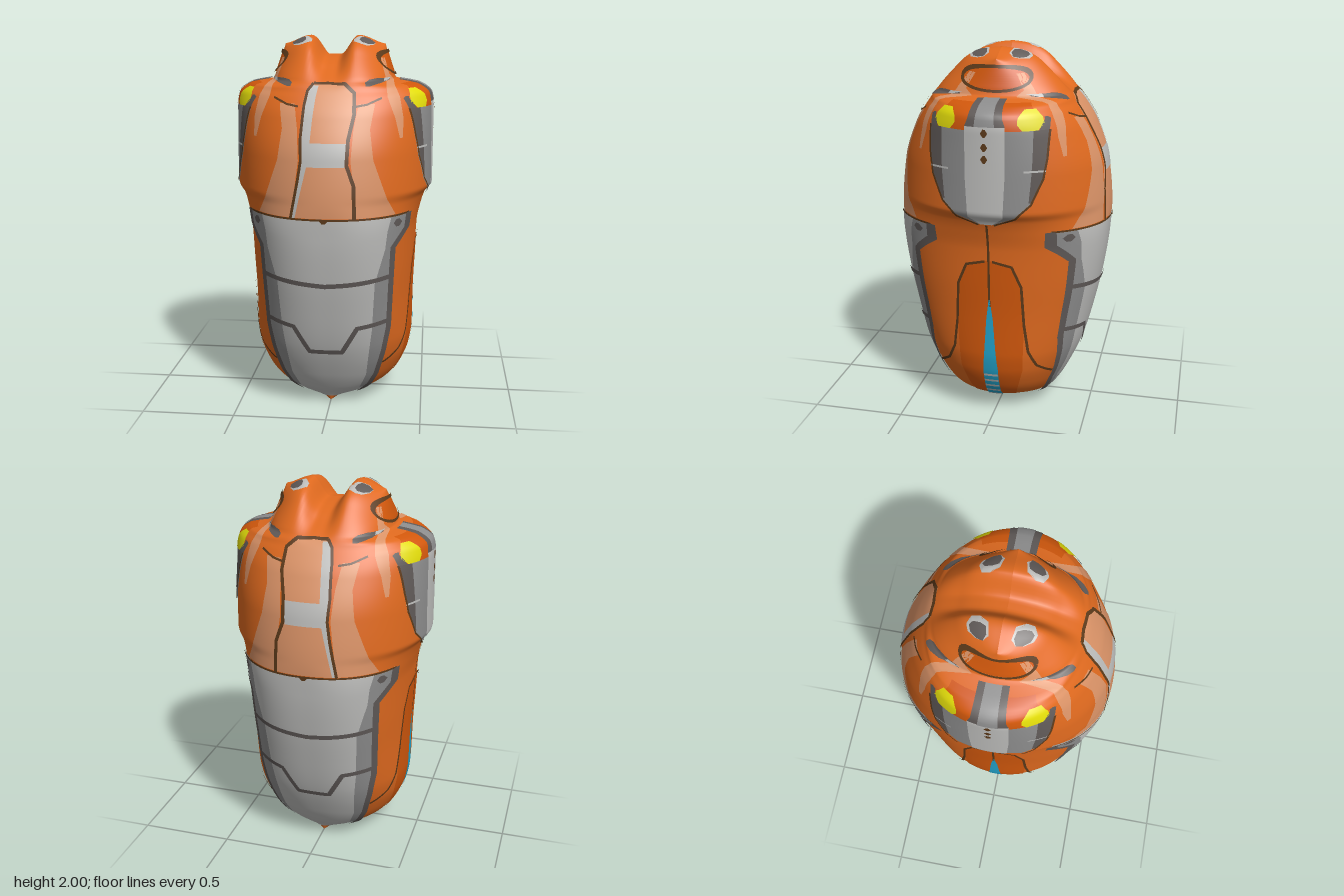
import * as THREE from 'three';

const paint = (name, color) => Object.assign(new THREE.MeshStandardMaterial({ color }), { name });
const M = {
  orange: paint('orange', 0xe06a1f), deep: paint('deep orange', 0xd2580c), peach: paint('peach', 0xdc9468),
  light: paint('light grey', 0xbebebc), grey: paint('mid grey', 0x8e8e8e), dark: paint('dark grey', 0x605a58),
  brown: paint('brown', 0x5c3a1a), yellow: paint('yellow', 0xe2dc0a), blue: paint('blue', 0x22a4cc),
};

// Monotone smooth curve through [t, value] points
function curve(p) {
  const s = p.slice(1).map((q, i) => (q[1] - p[i][1]) / (q[0] - p[i][0]));
  const m = p.map((_, i) => (i === 0 ? s[0] : i === s.length ? s[i - 1]
    : s[i - 1] * s[i] <= 0 ? 0 : 2 * s[i - 1] * s[i] / (s[i - 1] + s[i])));
  return (t) => {
    t = Math.min(Math.max(t, p[0][0]), p[p.length - 1][0]);
    let i = 0;
    while (i < s.length - 1 && t > p[i + 1][0]) i++;
    const h = p[i + 1][0] - p[i][0], k = (t - p[i][0]) / h, j = 1 - k;
    return p[i][1] * (1 + 2 * k) * j * j + p[i + 1][1] * (3 - 2 * k) * k * k + h * k * j * (m[i] * j - m[i + 1] * k);
  };
}

// Half width, half depth and roundness of the section at each height
const W = curve([[0, 0], [.004, .03], [.03, .1], [.06, .23], [.12, .33], [.2, .385], [.3, .422], [.4, .435], [.6, .437],
  [.8, .445], [1, .455], [1.1, .475], [1.17, .498], [1.22, .528], [1.63, .528], [1.7, .517], [1.75, .45], [1.765, .38],
  [1.775, .332], [1.84, .312], [1.92, .292], [2, .27]]);
const D = curve([[0, .24], [.03, .25], [.1, .305], [.2, .365], [.4, .45], [.6, .502], [.8, .542], [1, .567], [1.15, .575],
  [1.4, .55], [1.6, .48], [1.7, .42], [1.8, .34], [1.9, .25], [1.95, .195], [1.98, .13], [1.993, .07], [2, 0]]);
const N = curve([[0, 2.2], [.2, 2.4], [.5, 2.55], [1, 2.7], [1.22, 2.05], [1.72, 2.1], [1.77, 3], [1.8, 3.4], [1.9, 3], [2, 2.5]]);
const step = THREE.MathUtils.smoothstep;

// Valley between the two horns and their outward slope
const sink = (x, y) => step(y, 1.72, 2) * (.1 * (1 - step(Math.abs(x), .03, .125)) + .045 * step(Math.abs(x), .13, .28));

const rows = [0, .004];
for (let i = 1; i < 199; i++) rows.push(i / 100);
rows.push(1.985, 1.99, 1.994, 1.997, 1.999, 2);

function mesh(name, pos, index, mat) {
  const g = new THREE.BufferGeometry();
  g.setAttribute('position', new THREE.Float32BufferAttribute(pos, 3));
  g.setIndex(index);
  g.computeVertexNormals();
  const m = new THREE.Mesh(g, mat);
  m.name = name;
  return m;
}

function body() {
  const pos = [], idx = [], n = 128;
  rows.forEach((y, r) => {
    for (let c = 0; c < n; c++) {
      const t = c / n * Math.PI * 2, s = Math.sin(t), x = W(y) * s;
      const z = D(y) * Math.sqrt(Math.max(0, 1 - Math.abs(s) ** N(y))) * (Math.cos(t) < 0 ? -1 : 1);
      pos.push(x, y - sink(x, y), z);
      if (!r) continue;
      const d = (c + 1) % n, a = (r - 1) * n, b = r * n;
      idx.push(a + c, a + d, b + d, a + c, b + d, b + c);
    }
  });
  return mesh('body', pos, idx, M.orange);
}

// Point lifted off the body: a is x for 'front' details and z for 'side' details
function place(view, a, y, lift, sx, sz) {
  const w = W(y), d = D(y), n = N(y);
  let x, z;
  if (view === 'front') {
    x = THREE.MathUtils.clamp(a, -w * .999, w * .999);
    z = d * Math.sqrt(1 - Math.abs(x / w) ** n);
  } else {
    z = THREE.MathUtils.clamp(a, -d * .999, d * .999);
    x = w * (1 - (z / d) ** 2) ** (1 / n);
  }
  const f = (X, Y, Z) => Math.abs(X / W(Y)) ** N(Y) + (Z / D(Y)) ** 2, e = .001;
  const v = new THREE.Vector3(f(x + e, y, z) - f(x - e, y, z), f(x, y + e, z) - f(x, y - e, z), f(x, y, z + e) - f(x, y, z - e));
  v.normalize().multiplyScalar(lift);
  return [(x + v.x) * sx, y - sink(x, y) + v.y, (z + v.z) * sz];
}

// Grid of [a, y] points laid on the body; mirror lists the sign pairs to build
const ALL = [[1, 1], [-1, 1], [1, -1], [-1, -1]], FB = [[1, 1], [1, -1]], LR = [[1, 1], [-1, 1]];
function lay(name, mat, view, layer, mirror, grid, ccw) {
  const g = new THREE.Group(), n = grid[0].length;
  g.name = name;
  for (const [sx, sz] of mirror) {
    const pos = [], idx = [], keep = (sx * sz * (view === 'side' ? -1 : 1) > 0) === ccw;
    grid.forEach((row, r) => row.forEach(([a, y], c) => {
      pos.push(...place(view, a, y, layer * .003, sx, sz));
      if (!r || !c) return;
      const q = r * n + c, p = q - n;
      idx.push(...(keep ? [p - 1, p, q, p - 1, q, q - 1] : [p - 1, q, p, p - 1, q - 1, q]));
    }));
    g.add(mesh(name, pos, idx, mat));
  }
  return g;
}

// Panel from rows of [y, start, end], bottom to top
function panel(name, mat, view, layer, mirror, spec) {
  const lo = spec[0][0], hi = spec[spec.length - 1][0];
  const ys = [...new Set([...spec.map((s) => s[0]), ...rows.filter((y) => y > lo && y < hi)])].sort((a, b) => a - b);
  const cols = Math.max(3, Math.ceil(Math.max(...spec.map((s) => s[2] - s[1])) / .02));
  const grid = ys.map((y) => {
    let i = 0;
    while (i < spec.length - 2 && y > spec[i + 1][0]) i++;
    const [p, q] = [spec[i], spec[i + 1]], k = (y - p[0]) / (q[0] - p[0]);
    const a = p[1] + (q[1] - p[1]) * k, b = p[2] + (q[2] - p[2]) * k;
    return Array.from({ length: cols + 1 }, (_, c) => [a + (b - a) * c / cols, y]);
  });
  return lay(name, mat, view, layer, mirror, grid, true);
}

// Seam line along [a, y] points
function seam(name, mat, view, mirror, width, pts, layer = 3) {
  const path = [];
  pts.forEach((p, i) => {
    const q = pts[i + 1];
    if (!q) return path.push(p);
    const k = Math.ceil(Math.hypot(q[0] - p[0], q[1] - p[1]) / .012);
    for (let j = 0; j < k; j++) path.push([p[0] + (q[0] - p[0]) * j / k, p[1] + (q[1] - p[1]) * j / k]);
  });
  const grid = path.map(([a, y], i) => {
    const p = path[Math.max(0, i - 1)], q = path[Math.min(path.length - 1, i + 1)];
    const l = Math.hypot(q[0] - p[0], q[1] - p[1]), nx = (p[1] - q[1]) / l * width / 2, ny = (q[0] - p[0]) / l * width / 2;
    return [[a + nx, y + ny], [a, y], [a - nx, y - ny]];
  });
  return lay(name, mat, view, layer, mirror, grid, true);
}

export function createModel() {
  const g = new THREE.Group();
  g.name = 'model';
  g.add(body());

  // Belly plate, front and back
  const edge = [[.03, .05], [.06, .15], [.12, .21], [.2, .25], [.35, .29], [.49, .315], [.73, .325], [.94, .335], [1.03, .4], [1.11, .41]];
  g.add(panel('bellyPlate', M.light, 'front', 1, FB, edge.map(([y, a]) => [y, -a, a])));
  g.add(panel('bellyPlateShade', M.grey, 'front', 2, ALL,
    [[.1, .16, .19], [.2, .2, .25], [.49, .235, .315], [.76, .25, .325], [.94, .3, .335], [1.03, .31, .4], [1.11, .33, .41]]));
  g.add(seam('bellyPlateRim', M.dark, 'front', ALL, .025, edge.slice(1).map(([y, a]) => [a, y])));
  g.add(seam('bellyPlateTopLine', M.brown, 'front', FB, .01, [[-.41, 1.11], [.41, 1.11]]));
  g.add(seam('bellySeam', M.dark, 'front', FB, .025, [[-.32, .785], [-.12, .765], [0, .755], [.12, .765], [.32, .785]]));
  g.add(seam('lowerBellySeam', M.dark, 'front', FB, .025,
    [[-.31, .53], [-.17, .51], [-.09, .365], [.08, .365], [.16, .51], [.31, .53]]));
  g.add(panel('bolt', M.dark, 'front', 3, ALL, [[1.05, .35, .365], [1.07, .338, .378], [1.09, .35, .365]]));
  g.add(panel('plateClasp', M.brown, 'front', 3, FB, [[1.09, -.008, .008], [1.11, -.025, .025]]));

  // Chest
  g.add(panel('chestPanel', M.peach, 'front', 1, FB,
    [[1.115, -.17, .15], [1.3, -.13, .145], [1.4, -.115, .11], [1.5, -.12, .115], [1.66, -.11, .14], [1.73, -.095, .13], [1.77, -.07, .085]]));
  g.add(panel('chestStripeUpper', M.light, 'front', 2, FB, [[1.45, -.12, -.075], [1.6, -.115, -.065], [1.7, -.1, -.055], [1.76, -.085, -.045]]));
  g.add(panel('chestBand', M.light, 'front', 2, FB, [[1.37, -.115, .1], [1.41, -.115, .11], [1.45, -.115, .112], [1.485, -.115, .115]]));
  g.add(panel('chestStripeLower', M.light, 'front', 2, FB, [[1.115, -.165, -.145], [1.25, -.145, -.115], [1.4, -.115, -.08]]));
  g.add(seam('chestRightLine', M.brown, 'front', FB, .014,
    [[-.165, 1.115], [-.13, 1.3], [-.115, 1.4], [-.12, 1.5], [-.11, 1.66], [-.098, 1.73], [-.07, 1.77]]));
  g.add(seam('chestLeftLine', M.brown, 'front', FB, .018,
    [[.15, 1.115], [.145, 1.28], [.11, 1.38], [.115, 1.5], [.14, 1.62], [.135, 1.72], [.085, 1.765], [0, 1.776], [-.07, 1.77]]));
  g.add(panel('chestSide', M.peach, 'front', 1, ALL, [[1.115, .16, .35], [1.2, .155, .31], [1.4, .13, .24], [1.55, .14, .22], [1.67, .16, .24]]));
  g.add(seam('collarLine', M.brown, 'front', ALL, .01, [[.14, 1.655], [.2, 1.665], [.27, 1.695]]));
  g.add(panel('collarBand', M.peach, 'front', 1, ALL, [[1.5, .365, .38], [1.6, .34, .38], [1.7, .3, .36], [1.76, .29, .33], [1.82, .275, .295], [1.92, .25, .27]]));

  // Head marks
  g.add(panel('browMark', M.dark, 'front', 2, ALL, [[1.752, .19, .21], [1.768, .185, .27], [1.785, .2, .3], [1.795, .24, .29]]));
  g.add(panel('browGlint', M.light, 'front', 3, ALL, [[1.777, .27, .283], [1.795, .27, .3]]));
  g.add(panel('hornMark', M.light, 'front', 1, ALL, [[1.958, .15, .18], [1.972, .11, .21], [1.985, .11, .22], [1.993, .14, .2]]));
  g.add(panel('hornTip', M.dark, 'front', 2, ALL, [[1.965, .155, .185], [1.974, .14, .21], [1.985, .145, .22], [1.991, .16, .195]]));
  const ring = Array.from({ length: 33 }, (_, i) => [.175 * Math.cos(i * Math.PI / 16), 1.885 + .075 * Math.sin(i * Math.PI / 16)]);
  g.add(panel('earPatch', M.deep, 'side', 1, LR, ring.slice(8, 25).reverse().map(([a, y]) => [y, a, -a])));
  g.add(seam('earRing', M.brown, 'side', LR, .018, ring));

  // Shoulder pods
  const pod = [[1.155, .04], [1.2, .15], [1.27, .225], [1.4, .28], [1.5, .295], [1.64, .3]];
  g.add(panel('podShell', M.grey, 'side', 1, LR, pod.map(([y, a]) => [y, -a, a])));
  g.add(panel('podFace', M.light, 'side', 2, LR, [[1.155, -.03, .03], [1.2, -.09, .09], [1.4, -.1, .1], [1.66, -.1, .1]]));
  g.add(panel('podEdge', M.dark, 'side', 2, ALL, [[1.28, .215, .23], [1.4, .225, .28], [1.5, .23, .295], [1.64, .23, .3]]));
  g.add(seam('podGroove', M.light, 'side', ALL, .01, [[.19, 1.44], [.29, 1.44]]));
  g.add(seam('podOutline', M.brown, 'side', ALL, .01, pod.map(([y, a]) => [a, y])));
  g.add(panel('podTop', M.deep, 'side', 1, LR, [[1.64, -.3, .3], [1.7, -.25, .25], [1.76, -.2, .2]]));
  g.add(panel('podLamp', M.yellow, 'side', 2, ALL, [[1.64, .18, .25], [1.67, .155, .275], [1.7, .155, .265], [1.735, .18, .23]]));
  g.add(panel('podLampEnd', M.dark, 'side', 2, ALL, [[1.64, .255, .3], [1.69, .275, .3], [1.7, .27, .285]]));
  g.add(panel('podStrap', M.dark, 'side', 2, LR, [[1.66, -.1, .1], [1.7, -.085, .085], [1.77, -.075, .075]]));
  g.add(panel('podStrapCenter', M.grey, 'side', 3, LR, [[1.66, -.05, .05], [1.77, -.04, .04]]));
  for (const y of [1.5, 1.56, 1.63]) {
    g.add(panel('podStud', M.brown, 'side', 3, LR, [[y - .02, -.004, .004], [y, -.018, .018], [y + .02, -.006, .006]]));
  }

  // Flank panels with the glowing strip
  g.add(panel('flankPanel', M.deep, 'side', 1, LR,
    [[.05, -.1, .1], [.3, -.17, .17], [.55, -.18, .18], [.8, -.165, .165], [.91, -.12, .12], [.94, -.04, .04]]));
  g.add(seam('flankLine', M.brown, 'side', ALL, .014, [[.31, .27], [.24, .33], [.2, .42], [.18, .58], [.168, .8], [.12, .915], [.02, .94]]));
  g.add(seam('sideSeam', M.brown, 'side', LR, .012, [[0, .68], [0, 1.15]], 2));
  g.add(panel('glowStrip', M.blue, 'side', 2, LR, [[.02, -.04, .04], [.3, -.04, .04], [.42, -.03, .03], [.6, -.018, .018], [.72, -.003, .003]]));
  for (let y = .06; y < .3; y += .04) {
    g.add(panel('glowRib', M.light, 'side', 3, LR, [[y, -.038, .038], [y + .014, -.038, .038]]));
  }
  return g;
}
